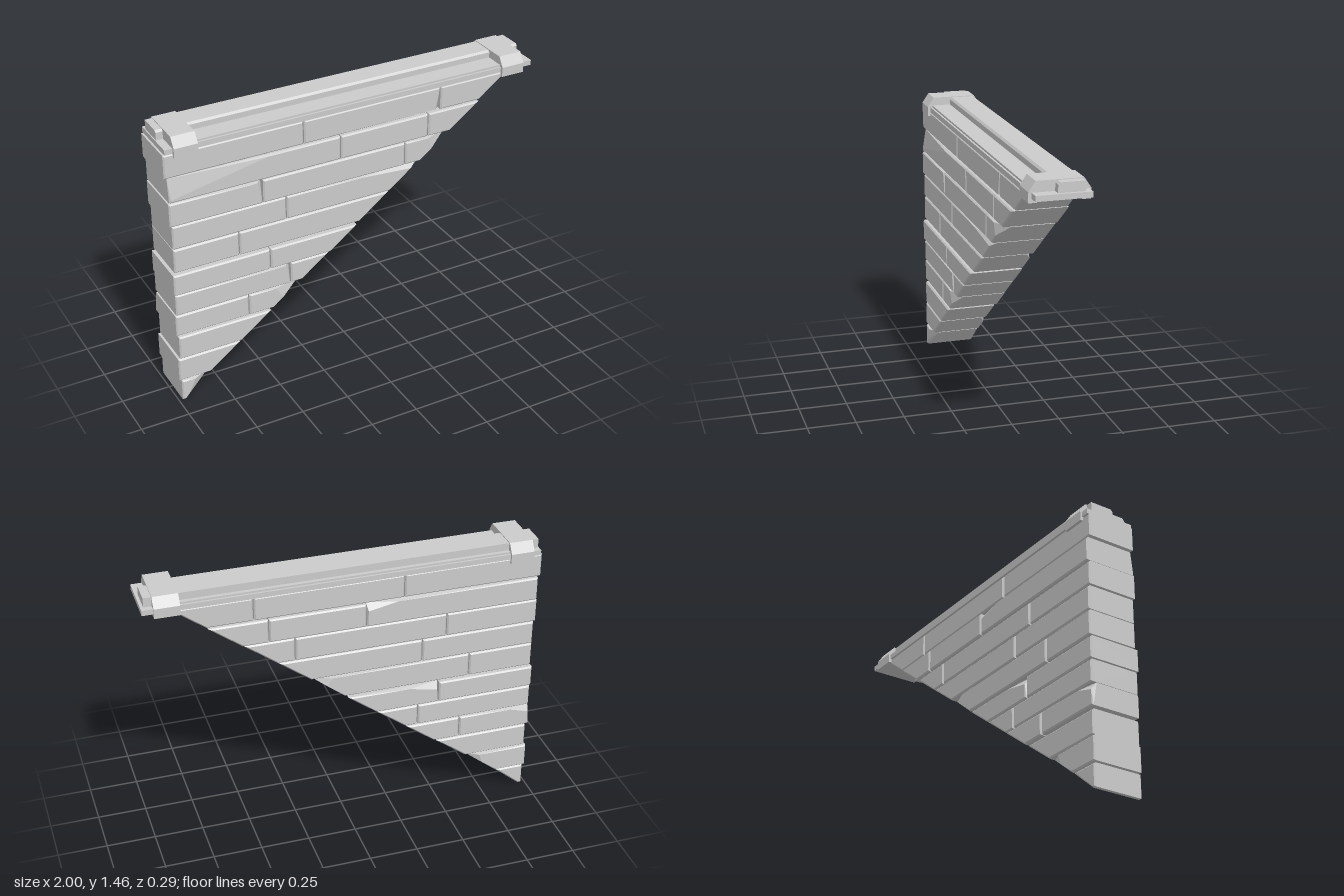
import * as THREE from 'three';
import { ConvexGeometry } from 'three/addons/geometries/ConvexGeometry.js';

const material = new THREE.MeshStandardMaterial({ color: 0xcccccc, flatShading: true });
const BEVEL = 0.007, GAP = 0.005, RUN = 1.33;
const slopeX = y => -0.98 + RUN * y; // diagonal lower edge of the wall

// Courses from bottom to top: y range, left end, joints, front and back depth
const courses = [
  { y: [0, 0.115], left: -0.98, joints: [], z: [0.135, -0.13] },
  { y: [0.12, 0.245], left: -0.99, joints: [], z: [0.133, -0.135] },
  { y: [0.25, 0.375], left: -0.98, joints: [], z: [0.135, -0.13] },
  { y: [0.387, 0.502], left: -0.99, joints: [-0.60], z: [0.133, -0.138] },
  { y: [0.507, 0.62], left: -0.985, joints: [-0.37], z: [0.135, -0.135] },
  { y: [0.625, 0.737], left: -0.99, joints: [-0.48], z: [0.141, -0.136] },
  { y: [0.75, 0.876], left: -0.98, joints: [-0.64], z: [0.135, -0.132] },
  { y: [0.88, 1.003], left: -0.98, joints: [-0.385], z: [0.135, -0.132] },
  { y: [1.007, 1.13], left: -0.99, joints: [-0.51, 0.27], z: [0.14, -0.132] },
  { y: [1.135, 1.258], left: -0.985, joints: [-0.09, 0.40], z: [0.14, -0.138] },
  { y: [1.263, 1.385], left: -1.0, joints: [-0.285, 0.47], z: [0.132, -0.13] },
];

// Chipped corners: course-brick -> [corner, side, length, height, depth]
// corners: 0 bottom left, 1 bottom right, 2 top right, 3 top left; side: 0 front, 1 back
const chips = {
  '0-0': [[2, 0, 0.06, 0.07, 0.03]],
  '1-0': [[2, 1, 0.05, 0.05, 0.03]],
  '3-0': [[3, 1, 0.1, 0.03, 0.02]],
  '3-1': [[2, 0, 0.12, 0.06, 0.03]],
  '4-0': [[2, 0, 0.02, 0.08, 0.02]],
  '5-1': [[3, 1, 0.15, 0.03, 0.02]],
  '6-1': [[2, 1, 0.08, 0.04, 0.03]],
  '7-1': [[2, 0, 0.3, 0.02, 0.02]],
  '8-0': [[2, 0, 0.02, 0.09, 0.02]],
  '8-2': [[2, 0, 0.1, 0.06, 0.04]],
  '9-0': [[3, 0, 0.5, 0.1, 0.012], [2, 1, 0.15, 0.03, 0.02]],
  '10-1': [[1, 0, 0.02, 0.09, 0.02]],
};

function addMesh(group, geometry, name) {
  const mesh = new THREE.Mesh(geometry, material);
  mesh.name = name;
  group.add(mesh);
  return mesh;
}

// Bevelled brick as a convex block; its right end may follow the diagonal
function brickGeometry(x0, xBottom, xTop, [y0, y1], depths, slanted, cuts = []) {
  const b = BEVEL;
  const corners = [[x0, y0], [xBottom, y0], [xTop, y1], [x0, y1]];
  const inset = [[b, b], [slanted ? -0.33 * b : -b, b], [slanted ? -3 * b : -b, -b], [b, -b]];
  const points = [];
  depths.forEach((z, side) => corners.forEach(([x, y], i) => {
    const inward = -Math.sign(z);
    const [ix, iy] = [x + inset[i][0], y + inset[i][1]];
    const cut = cuts.find(c => c[0] === i && c[1] === side);
    if (cut) {
      const dx = (i === 0 || i === 3 ? 1 : -1) * cut[2];
      const dy = (i < 2 ? 1 : -1) * cut[3];
      const lean = slanted && (i === 1 || i === 2) ? RUN * dy : 0;
      points.push(new THREE.Vector3(ix + dx, iy, z));
      points.push(new THREE.Vector3(ix + lean, iy + dy, z));
      points.push(new THREE.Vector3(x, y, z + inward * (b + cut[4])));
    } else {
      points.push(new THREE.Vector3(ix, iy, z));
      points.push(new THREE.Vector3(x, y, z + inward * b));
    }
  }));
  return new ConvexGeometry(points);
}

// Extrude a [z, y] cross-section along x
function profileAlongX(profile, x0, x1) {
  const shape = new THREE.Shape(profile.map(([z, y]) => new THREE.Vector2(-z, y)));
  const geometry = new THREE.ExtrudeGeometry(shape, { depth: x1 - x0, bevelEnabled: false });
  geometry.rotateY(Math.PI / 2);
  geometry.translate(x0, 0, 0);
  return geometry;
}

export function createModel() {
  const model = new THREE.Group();
  model.name = 'triangularBrickWall';

  // Brick courses
  const wall = new THREE.Group();
  wall.name = 'bricks';
  model.add(wall);
  courses.forEach(({ y, left, joints, z }, row) => {
    const starts = [left, ...joints.map(x => x + GAP / 2)];
    starts.forEach((x0, i) => {
      const last = i === joints.length;
      const xBottom = last ? Math.max(slopeX(y[0]), x0 + 0.018) : joints[i] - GAP / 2;
      const xTop = last ? slopeX(y[1]) : xBottom;
      addMesh(wall, brickGeometry(x0, xBottom, xTop, y, z, last, chips[`${row}-${i}`]), 'brick');
    });
  });

  // Coping: wide slab with a raised beam set towards the back
  const coping = new THREE.Group();
  coping.name = 'coping';
  model.add(coping);
  addMesh(coping, profileAlongX([
    [0.13, 1.385], [0.13, 1.412], [-0.135, 1.412], [-0.135, 1.385],
  ], -0.99, 1.0), 'copingSlab');
  addMesh(coping, profileAlongX([
    [0.022, 1.41], [0.022, 1.45], [0.012, 1.46], [-0.105, 1.46], [-0.105, 1.41],
  ], -0.985, 0.985), 'copingBeam');
  // Low ledge filling the front and back between the clamps
  addMesh(coping, profileAlongX([
    [0.12, 1.41], [0.12, 1.422], [-0.125, 1.422], [-0.125, 1.41],
  ], -0.9, 0.9), 'copingLedge');

  // Clamps gripping both ends of the coping
  const clamp = [
    [0.145, 1.365], [0.145, 1.415], [0.112, 1.464], [-0.112, 1.464], [-0.145, 1.415],
    [-0.145, 1.365], [-0.105, 1.365], [-0.105, 1.388], [0.105, 1.388], [0.105, 1.365],
  ];
  addMesh(model, profileAlongX(clamp, -0.95, -0.83), 'rightClamp');
  addMesh(model, profileAlongX(clamp, 0.82, 0.945), 'leftClamp');

  return model;
}
